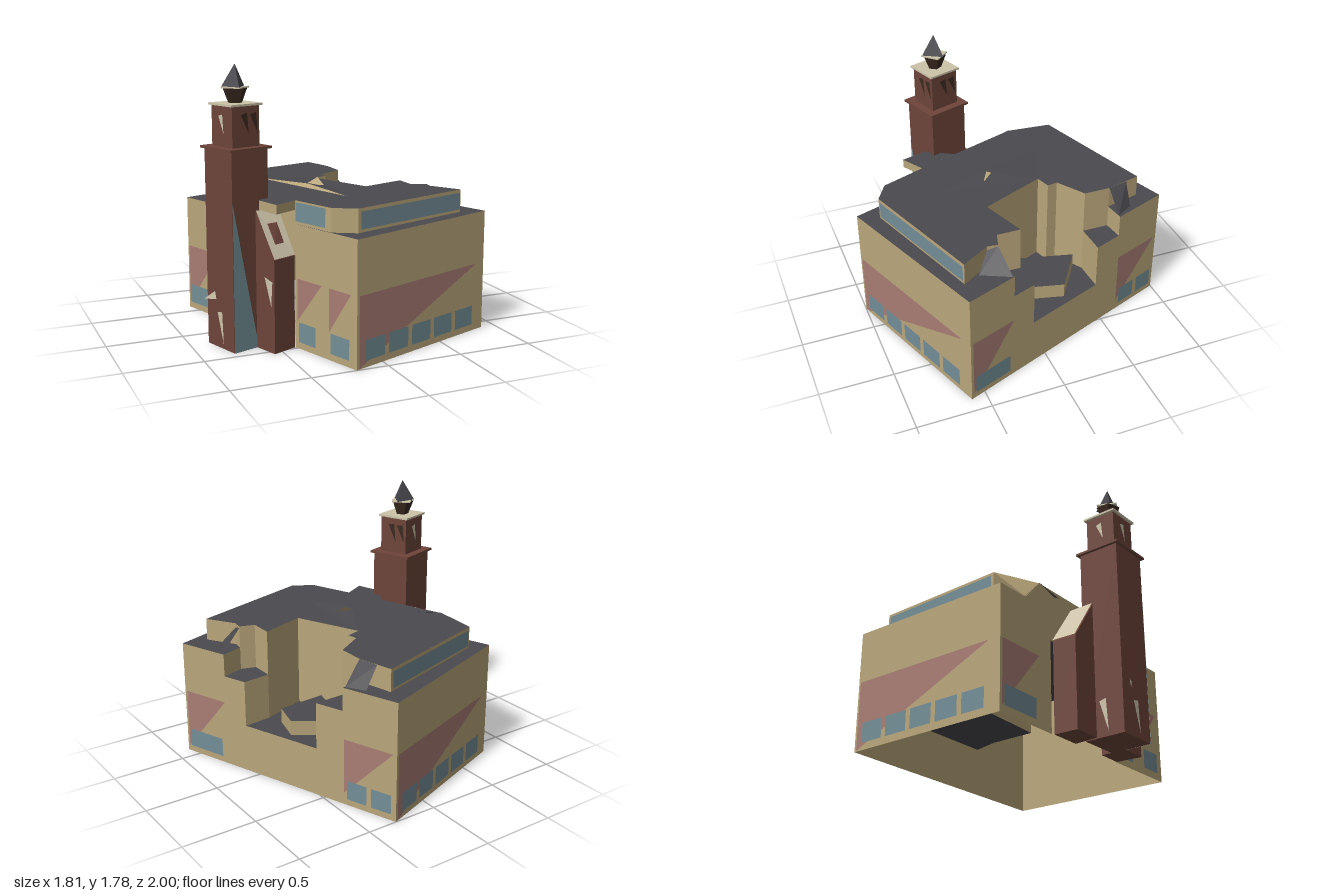
import * as THREE from 'three';
import { ConvexGeometry } from 'three/addons/geometries/ConvexGeometry.js';

const mat = (name, color) => {
  const m = new THREE.MeshStandardMaterial({ color, side: THREE.DoubleSide });
  m.name = name;
  return m;
};

export function createModel() {
  const root = new THREE.Group();
  const stone = mat('sandstone', 0xb9a67a), roof = mat('slate roof', 0x4a494e);
  const brick = mat('red brick', 0x6e453a), glass = mat('blue glass', 0x738e97);
  const pink = mat('pink panel', 0xa87d75), cream = mat('cream trim', 0xcdc4aa);
  const dark = mat('dark timber', 0x3c2b20);

  const add = (name, geometry, material, parent = root) => {
    const m = new THREE.Mesh(geometry, material);
    m.name = name;
    parent.add(m);
    return m;
  };
  // flat face from 3D corners
  const face = (name, pts, material, parent) => {
    const v = [];
    for (let i = 1; i < pts.length - 1; i++) v.push(...pts[0], ...pts[i], ...pts[i + 1]);
    const g = new THREE.BufferGeometry();
    g.setAttribute('position', new THREE.Float32BufferAttribute(v, 3));
    g.computeVertexNormals();
    return add(name, g, material, parent);
  };
  // horizontal sheet from [x, z] outline
  const sheet = (name, outline, y, material) => {
    const g = new THREE.ShapeGeometry(new THREE.Shape(outline.map(([x, z]) => new THREE.Vector2(x, -z))));
    g.rotateX(-Math.PI / 2).translate(0, y, 0);
    return add(name, g, material);
  };
  // upright sheet between two ground points; corners are [fraction along, y]
  const panel = (name, [p, q], corners, material, out = 0) => {
    const d = new THREE.Vector3(q[0] - p[0], 0, q[1] - p[1]), len = d.length();
    d.normalize();
    const up = new THREE.Vector3(0, 1, 0), n = d.clone().cross(up);
    const g = new THREE.ShapeGeometry(new THREE.Shape(corners.map(([f, y]) => new THREE.Vector2(f * len, y))));
    g.applyMatrix4(new THREE.Matrix4().makeBasis(d, up, n).setPosition(p[0] + n.x * out, 0, p[1] + n.z * out));
    return add(name, g, material);
  };
  const rect = (a, b, y0, y1) => [[a, y0], [b, y0], [b, y1], [a, y1]];
  // strip of walls along a path
  const walls = (name, path, y0, y1) => {
    for (let i = 0; i < path.length - 1; i++) panel(name, [path[i], path[i + 1]], rect(0, 1, y0, y1), stone);
  };

  // --- hall outline
  const A = [0.3, -1], B = [-0.78, -0.61], C = [-0.21, 1], D = [0.9, 0.6];
  const front = [C, D], right = [D, A], back = [A, B], left = [B, C];
  const onRight = z => [0.9 - (0.6 - z) * 0.375, z], fr = z => (0.6 - z) / 1.6;
  const court = [[0.52, 0.12], [0.21, 0.23], [0.02, -0.21], [0.12, -0.24], [0.11, -0.31], [0.3, -0.43]];

  // --- outer walls
  panel('frontWall', front, rect(0, 1, 0, 0.8), stone);
  panel('backWall', back, rect(0, 1, 0, 0.8), stone);
  panel('rightWall', right, [[0, 0], [1, 0], [1, 0.8], [fr(-0.63), 0.8], [fr(-0.63), 0.645], [fr(-0.44), 0.645],
    [fr(-0.44), 0.33], [fr(0.1), 0.33], [fr(0.1), 0.645], [fr(0.26), 0.645], [fr(0.26), 0.8], [0, 0.8]], stone);
  panel('leftWall', left, [[0, 0], [0.28, 0], [0.28, 0.6], [0.677, 0.6], [0.677, 0], [1, 0], [1, 0.8],
    [0.677, 0.8], [0.677, 0.95], [0.217, 0.95], [0.13, 0.8], [0, 0.8]], stone);

  // --- pink panels and window rows, front and back
  for (const side of [front, back]) {
    panel('pinkPanel', side, [[0.015, 0.005], [0.93, 0.455], [0.015, 0.455]], pink, 0.003);
    for (let i = 0; i < 5; i++)
      panel('window', side, rect(0.054 + 0.176 * i, 0.2 + 0.176 * i, 0.045, 0.175), glass, 0.006);
  }
  // side walls
  for (const side of [right, left]) {
    panel('pinkPanel', side, [[0.01, 0.04], [0.21, 0.455], [0.01, 0.455]], pink, 0.003);
    panel('window', side, rect(0.02, 0.19, 0.045, 0.175), glass, 0.006);
  }
  panel('pinkPanel', right, [[0.775, 0.08], [0.985, 0.455], [0.775, 0.455]], pink, 0.003);
  for (const [a, b] of [[0.69, 0.82], [0.86, 0.97]])
    panel('pinkPanel', left, [[a, 0.18], [b, 0.455], [a, 0.455]], pink, 0.003);
  for (const [a, b] of [[0.79, 0.875], [0.895, 0.98]]) panel('window', right, rect(a, b, 0.045, 0.175), glass, 0.006);
  for (const [a, b] of [[0.7, 0.79], [0.87, 0.965]]) panel('window', left, rect(a, b, 0.045, 0.175), glass, 0.006);

  // --- ledge roof and raised upper storey
  sheet('ledgeRoof', [A, B, C, D, onRight(0.26), [0.62, 0.31], [0.52, 0.28], ...court, [0.3, -0.61], onRight(-0.63)], 0.8, roof);
  const frontRim = [[-0.394, 0.48], [-0.28, 0.78], [-0.14, 0.86], [0.73, 0.57], [0.61, 0.38], [0.62, 0.31]];
  const backRim = [[0.3, -0.61], [0.24, -0.85], [-0.63, -0.57], [-0.656, -0.26]];
  sheet('upperRoof', [...frontRim, [0.52, 0.28], ...court, ...backRim], 0.95, roof);
  walls('upperWall', frontRim, 0.8, 0.95);
  walls('upperWall', backRim, 0.8, 0.95);
  panel('clerestory', [frontRim[2], frontRim[3]], rect(0.02, 0.99, 0.82, 0.93), glass, 0.005);
  panel('clerestory', [backRim[1], backRim[2]], rect(0.02, 0.98, 0.82, 0.93), glass, 0.005);
  panel('sideGlass', [frontRim[0], frontRim[1]], rect(0.03, 0.85, 0.82, 0.94), glass, 0.005);
  face('leftSlope', [[-0.63, 0.95, -0.57], [-0.705, 0.8, -0.39], [-0.656, 0.95, -0.26]], stone);
  face('roofSlope', [[0.27, 0.95, -0.75], [0.35, 0.8, -0.75], [0.42, 0.8, -0.63], [0.3, 0.95, -0.61]], roof);
  face('roofSlope', [[0.62, 0.94, 0.31], [0.773, 0.8, 0.27], [0.68, 0.8, 0.46], [0.61, 0.92, 0.38]], roof);

  // --- stepped court cut into the right side
  walls('courtWall', court, 0.33, 0.95);
  walls('courtWall', [onRight(0.1), court[0]], 0.33, 0.645);
  walls('courtWall', [court[5], onRight(-0.44)], 0.33, 0.645);
  walls('stepWall', [[0.3, -0.43], [0.3, -0.61]], 0.645, 0.95);
  walls('stepWall', [[0.3, -0.61], onRight(-0.63)], 0.645, 0.8);
  walls('stepWall', [[0.52, 0.12], [0.52, 0.28], [0.62, 0.31]], 0.645, 0.95);
  walls('stepWall', [[0.62, 0.31], onRight(0.26)], 0.645, 0.8);
  sheet('courtFloor', [onRight(0.1), ...court, onRight(-0.44)], 0.33, roof);
  sheet('stepRoof', [[0.3, -0.43], [0.3, -0.61], onRight(-0.63), onRight(-0.44)], 0.645, roof);
  sheet('stepRoof', [[0.52, 0.12], [0.52, 0.28], [0.62, 0.31], onRight(0.26), onRight(0.1)], 0.645, roof);
  // low block in the court
  const block = [[0.15, 0.04], [0.49, 0.01], [0.54, -0.19], [0.26, -0.38]];
  walls('courtBlock', [...block, block[0]], 0.33, 0.43);
  sheet('courtBlockRoof', block, 0.43, roof);
  face('courtBlockSlope', [[0.15, 0.43, 0.04], [0.33, 0.33, 0.09], [0.49, 0.43, 0.01]], roof);

  // --- low ridge on the roof
  const r0 = [-0.34, 0.952, -0.35], r1 = [-0.05, 0.952, 0.5], r2 = [0.02, 0.952, -0.19], peak = [-0.16, 0.977, 0.12];
  face('ridgeFace', [r0, r1, peak], stone);
  face('ridgeRoof', [r0, peak, r2], roof);
  face('ridgeRoof', [peak, r1, r2], roof);
  face('ridgeFin', [[-0.18, 0.965, 0.1], [-0.06, 0.965, 0.15], [-0.08, 1.01, 0.09]], cream).material = stone;

  // --- two brick annexes with sloping cream roofs
  const annex = (base, top) => {
    const pts = base.flatMap(([x, z]) => [new THREE.Vector3(x, 0, z), new THREE.Vector3(x, 0.6, z)]);
    pts.push(...top.map(([x, z]) => new THREE.Vector3(x, 0.88, z)));
    add('annex', new ConvexGeometry(pts), brick);
    const lift = ([x, z], y) => [x, y + 0.006, z + (base[0][1] > 0 ? 0.005 : -0.005)];
    face('annexRoof', [lift(base[0], 0.6), lift(base[1], 0.6), lift(top[1], 0.88), lift(top[0], 0.88)], cream);
  };
  annex([[-0.4, 0.48], [-0.56, 0.55], [-0.62, 0.38], [-0.46, 0.32]], [[-0.46, 0.35], [-0.62, 0.39]]);
  annex([[-0.62, -0.14], [-0.77, -0.08], [-0.71, 0.1], [-0.55, 0.06]], [[-0.55, 0.05], [-0.71, 0.1]]);
  // eave reaching over the front annex
  const eave = [[-0.394, 0.48], [-0.55, 0.57], [-0.6, 0.4], [-0.49, 0.21]];
  sheet('eaveRoof', eave, 0.95, roof);
  walls('eaveWall', eave, 0.89, 0.95);
  face('rearEave', [[-0.656, 0.955, -0.26], [-0.53, 0.955, -0.15], [-0.63, 0.9, -0.1]], roof);

  // --- tower
  const tower = new THREE.Group();
  tower.name = 'tower';
  tower.position.set(-0.7, 0, 0.265);
  tower.rotation.y = 0.327;
  root.add(tower);
  const box = (name, w, y0, y1, m) =>
    add(name, new THREE.BoxGeometry(w, y1 - y0, w).translate(0, (y0 + y1) / 2, 0), m, tower);
  box('towerShaft', 0.277, 0, 1.265, brick);
  box('towerCornice', 0.316, 1.265, 1.28, brick);
  box('towerUpper', 0.207, 1.28, 1.53, brick);
  box('towerTop', 0.236, 1.532, 1.545, cream);
  add('belfry', new THREE.CylinderGeometry(0.08, 0.045, 0.09, 5).toNonIndexed().translate(0, 1.59, 0), dark, tower)
    .geometry.computeVertexNormals();
  const plate = box('belfryPlate', 0.13, 1.635, 1.643, cream);
  plate.rotation.y = 0.45;
  const spireGeo = new THREE.ConeGeometry(0.085, 0.14, 3).toNonIndexed();
  spireGeo.computeVertexNormals();
  add('spire', spireGeo.translate(0, 1.713, 0), roof, tower).rotation.y = -0.327;

  // tower glazing and slit openings, turned onto each side
  face('towerGlass', [[-0.138, 0, 0.142], [0.05, 0, 0.142], [-0.04, 0.45, 0.142], [-0.138, 0.95, 0.142]], glass, tower);
  for (let i = 0; i < 4; i++) {
    const side = new THREE.Group();
    side.name = 'towerSlits';
    side.rotation.y = i * Math.PI / 2;
    tower.add(side);
    const slit = (x, w, y0, y1, z, m) =>
      face('slit', [[x, y1, z], [x + w, y0, z], [x + w * 0.8, y1 + 0.01, z]], m, side);
    if (i < 2) {
      slit(-0.04, 0.06, 1.36, 1.48, 0.107, dark);
      slit(0.03, 0.06, 1.36, 1.48, 0.107, dark);
    } else {
      slit(-0.03, 0.05, 1.36, 1.47, 0.107, cream);
      slit(-0.03, 0.06, 0.03, 0.23, 0.142, cream);
    }
  }
  face('towerSpike', [[-0.91, 0.31, 0.22], [-0.8, 0.31, 0.3], [-0.84, 0.37, 0.26]], cream);
  face('annexSlit', [[-0.595, 0.48, 0.47], [-0.575, 0.3, 0.53], [-0.57, 0.46, 0.54]], cream);
  return root;
}
